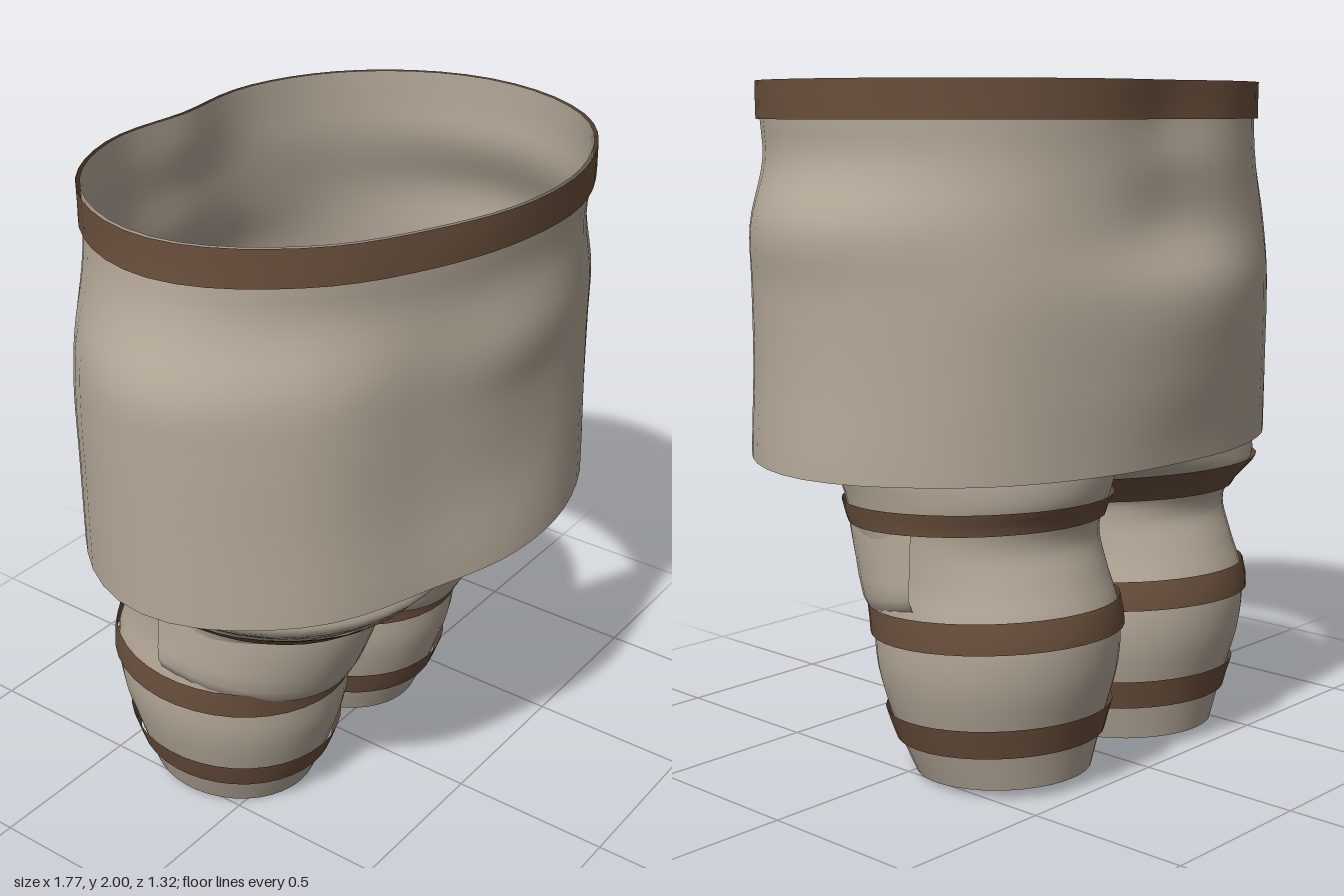
import * as THREE from 'three';

const cloth = new THREE.MeshStandardMaterial({ color: 0xb4a898, side: THREE.DoubleSide });
cloth.name = 'stoneCloth';
const leather = new THREE.MeshStandardMaterial({ color: 0x6a4f3c, side: THREE.DoubleSide });
leather.name = 'brownLeather';

// Surface from rows of points; rows run upwards, points run from +x towards +z
function surface(name, rows, cols, closed, point, material) {
  const pos = [], index = [];
  for (let r = 0; r < rows; r++) for (let c = 0; c < cols; c++) pos.push(...point(r, c));
  for (let r = 0; r < rows - 1; r++) {
    for (let c = 0; c < (closed ? cols : cols - 1); c++) {
      const a = r * cols + c, b = r * cols + (c + 1) % cols;
      index.push(a, a + cols, b, b, a + cols, b + cols);
    }
  }
  const g = new THREE.BufferGeometry();
  g.setAttribute('position', new THREE.Float32BufferAttribute(pos, 3));
  g.setIndex(index);
  g.computeVertexNormals();
  const mesh = new THREE.Mesh(g, material);
  mesh.name = name;
  return mesh;
}

// Catmull-Rom through four neighbours
function cubic(a, b, c, d, t) {
  return b + 0.5 * t * (c - a + t * (2 * a - 5 * b + 4 * c - d + t * (3 * (b - c) + d - a)));
}

// Interpolates a table whose first column is the height
function sample(table, y) {
  let i = 0;
  while (i < table.length - 2 && y > table[i + 1][0]) i++;
  const at = k => table[Math.max(0, Math.min(table.length - 1, k))];
  const t = (y - at(i)[0]) / (at(i + 1)[0] - at(i)[0]);
  return at(i).map((_, k) => cubic(at(i - 1)[k], at(i)[k], at(i + 1)[k], at(i + 2)[k], t));
}

// Skirt: height, then radius every 30 degrees from +x towards +z
const skirtRows = [
  [0.935, 0.885, 0.83, 0.72, 0.655, 0.65, 0.785, 0.885, 0.79, 0.67, 0.61, 0.66, 0.785],
  [1.2, 0.865, 0.82, 0.71, 0.62, 0.625, 0.775, 0.885, 0.79, 0.685, 0.65, 0.675, 0.785],
  [1.43, 0.86, 0.82, 0.70, 0.62, 0.62, 0.77, 0.885, 0.79, 0.685, 0.66, 0.68, 0.785],
  [1.6, 0.87, 0.82, 0.70, 0.64, 0.62, 0.755, 0.875, 0.775, 0.65, 0.57, 0.645, 0.775],
  [1.78, 0.80, 0.78, 0.685, 0.61, 0.605, 0.69, 0.80, 0.74, 0.64, 0.56, 0.63, 0.735],
  [1.9, 0.80, 0.785, 0.695, 0.62, 0.615, 0.69, 0.775, 0.73, 0.635, 0.54, 0.63, 0.73],
  [2.0, 0.80, 0.785, 0.695, 0.63, 0.615, 0.69, 0.77, 0.73, 0.635, 0.54, 0.63, 0.73],
];

function skirtPart(name, y0, y1, rows, grow, material) {
  const cols = 60;
  return surface(name, rows, cols, true, (r, c) => {
    const y = y0 + (y1 - y0) * r / (rows - 1);
    const radii = sample(skirtRows, y).slice(1);
    const k = c / cols * 12, i = Math.floor(k);
    const at = n => radii[(n + 12) % 12];
    const radius = cubic(at(i - 1), at(i), at(i + 1), at(i + 2), k - i) + grow;
    const a = c / cols * Math.PI * 2;
    return [radius * Math.cos(a), y, radius * Math.sin(a)];
  }, material);
}

// Leg sections: height, centre x, centre z, radius x, radius z
const lowerLeg = [
  [0.02, 0.29, -0.185, 0.248, 0.265],
  [0.16, 0.293, -0.172, 0.297, 0.31],
  [0.33, 0.297, -0.17, 0.338, 0.36],
  [0.48, 0.3, -0.165, 0.343, 0.37],
  [0.6, 0.3, -0.13, 0.332, 0.365],
  [0.7, 0.3, -0.1, 0.334, 0.36],
];
const leftThigh = [
  [0.77, 0.3, -0.085, 0.34, 0.39],
  [0.84, 0.3, -0.09, 0.353, 0.42],
  [0.95, 0.285, -0.065, 0.38, 0.44],
  [1.08, 0.275, -0.045, 0.35, 0.36],
];
const rightThigh = [
  [0.77, 0.3, -0.065, 0.35, 0.425],
  [0.84, 0.28, -0.055, 0.455, 0.5],
  [0.885, 0.225, -0.03, 0.553, 0.53],
  [0.95, 0.235, -0.045, 0.54, 0.515],
  [1.08, 0.25, -0.04, 0.385, 0.42],
];

function legPart(name, table, side, y0, y1, rows, grow, material) {
  const cols = 40;
  return surface(name, rows, cols, true, (r, c) => {
    const [y, cx, cz, rx, rz] = sample(table, y0 + (y1 - y0) * r / (rows - 1));
    const a = c / cols * Math.PI * 2, z = (rz + grow) * Math.sin(a);
    // each ring leans slightly, higher at the back
    return [side * cx + (rx + grow) * Math.cos(a), y - 0.065 * z, cz + z];
  }, material);
}

// Half-bowl knee guard: height and scale in x and z
const padRows = [
  [0.35, 0.0, 0.0], [0.36, 0.35, 0.28], [0.39, 0.68, 0.54], [0.43, 0.9, 0.71], [0.455, 0.98, 0.785],
  [0.5, 1.02, 0.835], [0.56, 1.02, 0.885], [0.63, 1.0, 0.94], [0.71, 1.0, 0.985], [0.79, 0.98, 1.0],
];

function kneePad(name, side) {
  const cols = 25;
  return surface(name, padRows.length, cols, false, (r, c) => {
    const [y, sx, sz] = padRows[r], a = c / (cols - 1) * Math.PI;
    // the lower edge climbs towards the sides of the leg
    const rise = 0.12 * (1 - Math.sin(a)) * (0.79 - y) / 0.44;
    return [side * 0.292 + 0.353 * sx * Math.cos(a), y + rise, -0.165 + 0.508 * sz * Math.sin(a)];
  }, cloth);
}

export function createModel() {
  const model = new THREE.Group();
  model.name = 'skirtAndLegs';

  model.add(skirtPart('skirt', 0.935, 2.0, 30, 0, cloth));
  model.add(skirtPart('waistband', 1.893, 2.0, 4, 0.012, leather));

  for (const side of [1, -1]) {
    const label = side > 0 ? 'left' : 'right';
    const table = [...lowerLeg, ...(side > 0 ? leftThigh : rightThigh)];
    const leg = new THREE.Group();
    leg.name = label + 'Leg';
    leg.add(legPart(label + 'LegSleeve', table, side, 0.02, 1.08, 54, 0, cloth));
    leg.add(legPart(label + 'AnkleBand', table, side, 0.13, 0.215, 3, 0.012, leather));
    leg.add(legPart(label + 'ShinBand', table, side, 0.437, 0.523, 3, 0.012, leather));
    leg.add(legPart(label + 'ThighBand', table, side, 0.757, side > 0 ? 0.825 : 0.845, 6, 0.012, leather));
    leg.add(kneePad(label + 'KneePad', side));
    model.add(leg);
  }
  return model;
}
